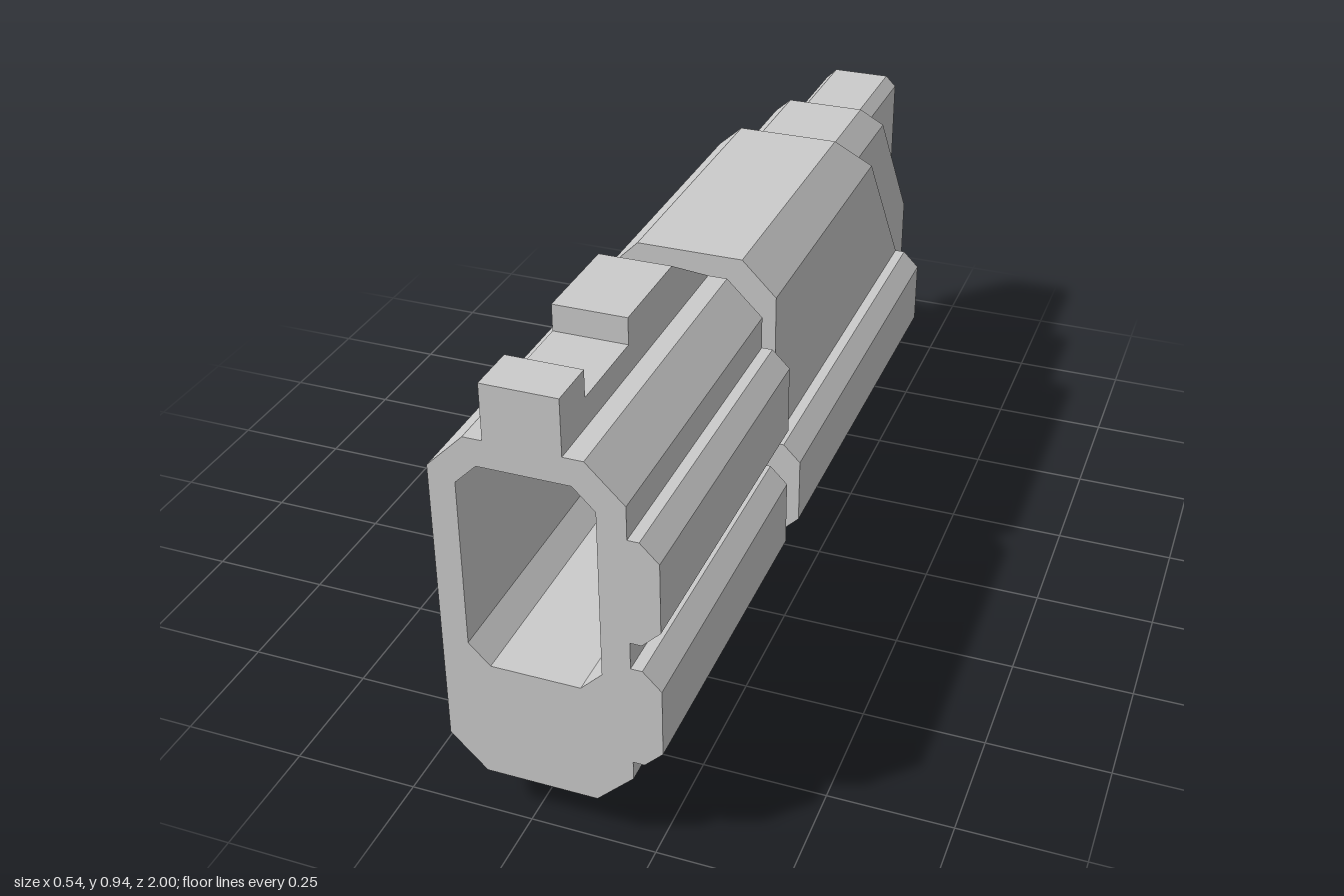
import * as THREE from 'three';

const CX = 0.026; // middle plane of the body in x

// octagon-like outline with cut corners; cut the bottom corners only if asked
function octagon(x0, x1, y0, y1, c, cutBottom = true) {
  const b = cutBottom ? c : 0;
  const pts = [[x0 + b, y0], [x1 - b, y0]];
  if (b) pts.push([x1, y0 + b]);
  pts.push([x1, y1 - c], [x1 - c, y1], [x0 + c, y1], [x0, y1 - c]);
  if (b) pts.push([x0, y0 + b]);
  return pts;
}

// side rib outline, from its lower root to its upper root
const rib = (y0, y1) => [[0.21, y0], [0.232, y0], [0.268, y0 + 0.036], [0.268, y1 - 0.036], [0.232, y1], [0.21, y1]];

const toVecs = (pts) => pts.map(([x, y]) => new THREE.Vector2(x, y));

export function createModel() {
  const group = new THREE.Group();
  const material = new THREE.MeshStandardMaterial({ color: 0xcccccc, flatShading: true });

  function add(name, geometry, mat = material) {
    const mesh = new THREE.Mesh(geometry, mat);
    mesh.name = name;
    group.add(mesh);
    return mesh;
  }

  // outline in x,y extruded from zBack to zFront; slope(y) may move the back end
  function prism(name, pts, zBack, zFront, { hole, slope } = {}) {
    const shape = new THREE.Shape(toVecs(pts));
    if (hole) shape.holes.push(new THREE.Path(toVecs(hole)));
    const geo = new THREE.ExtrudeGeometry(shape, { depth: zFront - zBack, bevelEnabled: false });
    geo.translate(0, 0, zBack);
    if (slope) {
      const p = geo.attributes.position;
      for (let i = 0; i < p.count; i++) {
        if (p.getZ(i) < zBack + 1e-4) p.setZ(i, slope(p.getY(i)));
      }
      geo.computeVertexNormals();
    }
    return add(name, geo);
  }

  // outline in z,y extruded across x
  function sidePlate(name, pts, x0, x1) {
    const shape = new THREE.Shape(toVecs(pts.map(([z, y]) => [-z, y])));
    const geo = new THREE.ExtrudeGeometry(shape, { depth: x1 - x0, bevelEnabled: false });
    geo.rotateY(Math.PI / 2).translate(x0, 0, 0);
    return add(name, geo);
  }

  // front block with two ribs and a deep opening
  const frontOutline = [
    [-0.085, 0.095], [0.137, 0.095], [0.21, 0.166],
    ...rib(0.205, 0.418), ...rib(0.474, 0.69),
    [0.21, 0.757], [0.137, 0.829], [-0.085, 0.829], [-0.157, 0.757], [-0.157, 0.166],
  ];
  const bore = octagon(-0.105, 0.155, 0.347, 0.775, 0.042);
  prism('frontBlock', frontOutline, 0.36, 1, { hole: bore });
  prism('frontBlockBack', frontOutline, 0.31, 0.36);

  // narrow neck between the two blocks
  prism('neck', octagon(CX - 0.142, CX + 0.142, 0.29, 0.755, 0.057), 0.2, 0.33);

  // main body: straight lower half with one rib, upper half with sloping back
  const lowerBody = [
    [-0.085, 0.095], [0.137, 0.095], [0.21, 0.166], ...rib(0.205, 0.418), [-0.157, 0.418], [-0.157, 0.166],
  ];
  prism('bodyLower', lowerBody, -0.72, 0.225);
  prism('bodyUpper', octagon(-0.157, 0.21, 0.418, 0.829, 0.072, false), -0.72, 0.225, {
    slope: (y) => -0.72 + (y - 0.418) * (0.32 / 0.411),
  });

  // smaller rear block, stepped in, with the same slope
  const rx0 = CX - 0.135, rx1 = CX + 0.135;
  const lowerRear = [[rx0 + 0.047, 0.14], [rx1 - 0.047, 0.14], [rx1, 0.187], [rx1, 0.42], [rx0, 0.42], [rx0, 0.187]];
  prism('rearLower', lowerRear, -0.98, -0.35);
  prism('rearUpper', octagon(rx0, rx1, 0.42, 0.79, 0.047, false), -0.98, -0.35, {
    slope: (y) => -0.98 + (y - 0.42) * (0.29 / 0.37),
  });

  // tail standing out of the rear slope
  prism('tail', octagon(CX - 0.09, CX + 0.09, 0.46, 0.758, 0.024, false), -1, -0.6);

  // notched rail on top
  sidePlate('topRail', [
    [1, 0.82], [0.31, 0.82], [0.31, 0.829], [0.5, 0.941], [0.71, 0.941],
    [0.71, 0.887], [0.9, 0.887], [0.9, 0.941], [1, 0.941],
  ], -0.048, 0.098);

  // plate under the body
  sidePlate('bottomPlate', [[0.115, 0], [-0.46, 0], [-0.61, 0.096], [0.115, 0.096]], -0.085, 0.137);

  // open round tube on the right side
  const tubeMat = material.clone();
  tubeMat.side = THREE.DoubleSide;
  const tube = add('sideTube', new THREE.CylinderGeometry(0.083, 0.083, 0.12, 16, 1, true), tubeMat);
  tube.rotation.z = Math.PI / 2;
  tube.position.set(-0.21, 0.46, -0.345);

  return group;
}
